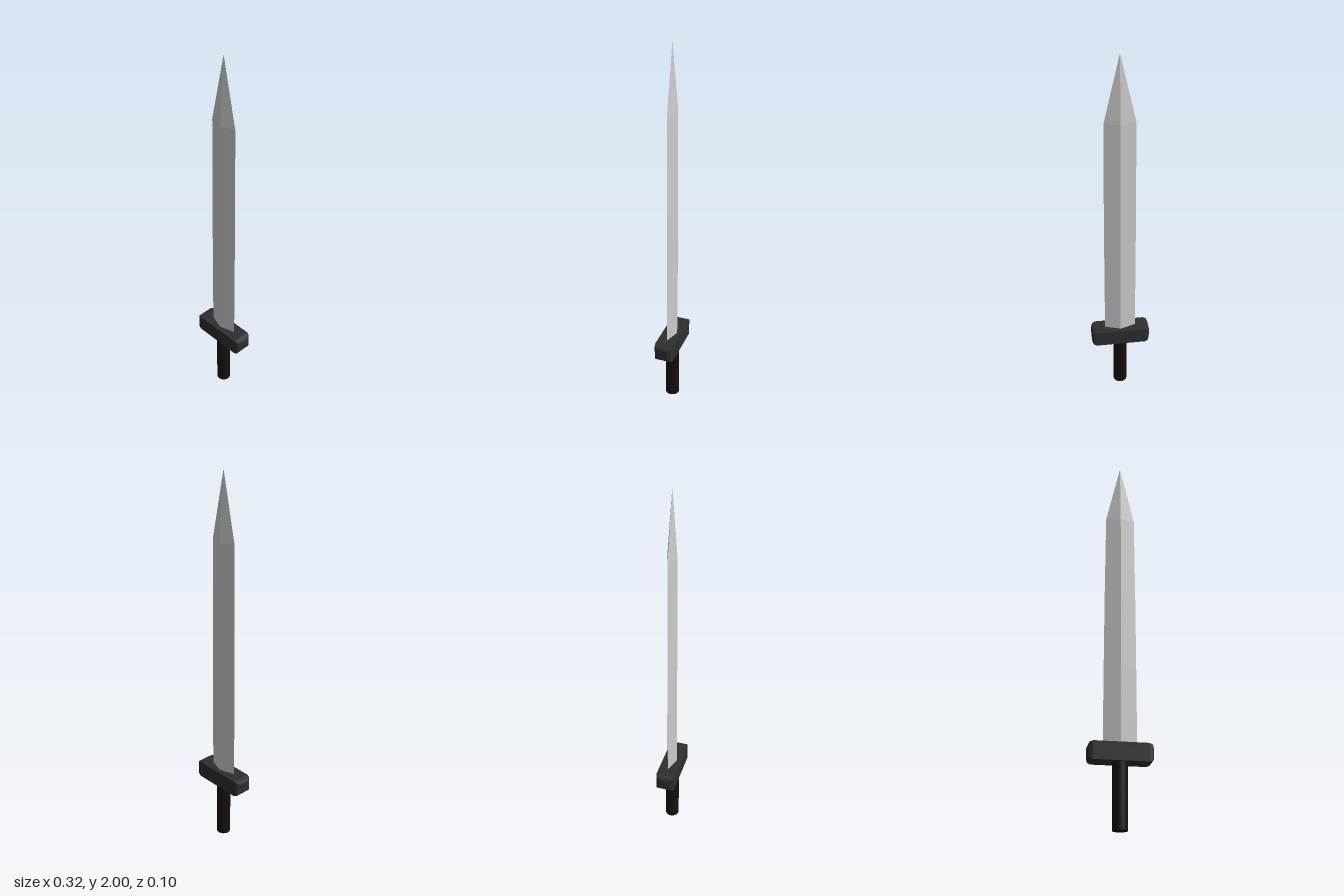
import * as THREE from 'three';

function part(name, geometry, color, flatShading) {
  const mesh = new THREE.Mesh(geometry, new THREE.MeshStandardMaterial({ color, flatShading }));
  mesh.name = name;
  return mesh;
}

// Diamond-section blade: a four-sided lathe flattened in z
function bladeGeometry() {
  const profile = [[0, 0.36], [0.083, 0.36], [0.082, 0.8], [0.08, 1.22], [0.076, 1.66], [0, 2]];
  const geometry = new THREE.LatheGeometry(profile.map(([r, y]) => new THREE.Vector2(r, y)), 4);
  return geometry.scale(1, 1, 0.32);
}

// Crossguard: a bar whose ends shrink in steps to form bevels
function guardGeometry() {
  const stations = [[0.135, 0.05, 0.045], [0.151, 0.045, 0.039], [0.158, 0.027, 0.027]]; // x, half z, half y
  const geometry = new THREE.BoxGeometry(5, 2, 2, 5, 1, 1);
  const p = geometry.attributes.position;
  for (let i = 0; i < p.count; i++) {
    const x = p.getX(i);
    const [sx, sz, sy] = stations[Math.round(Math.abs(x) - 0.5)];
    p.setXYZ(i, Math.sign(x) * sx, p.getY(i) * sy, p.getZ(i) * sz);
  }
  return geometry;
}

export function createModel() {
  const sword = new THREE.Group();
  sword.name = 'sword';

  sword.add(part('blade', bladeGeometry(), 0xcccccc, true));

  const guard = part('crossguard', guardGeometry(), 0x2e2e2e, true);
  guard.position.y = 0.36;
  sword.add(guard);

  // Round grip running up into the guard
  const grip = part('grip', new THREE.CylinderGeometry(0.037, 0.037, 0.34, 32), 0x16100c, false);
  grip.position.y = 0.17;
  sword.add(grip);

  return sword;
}
